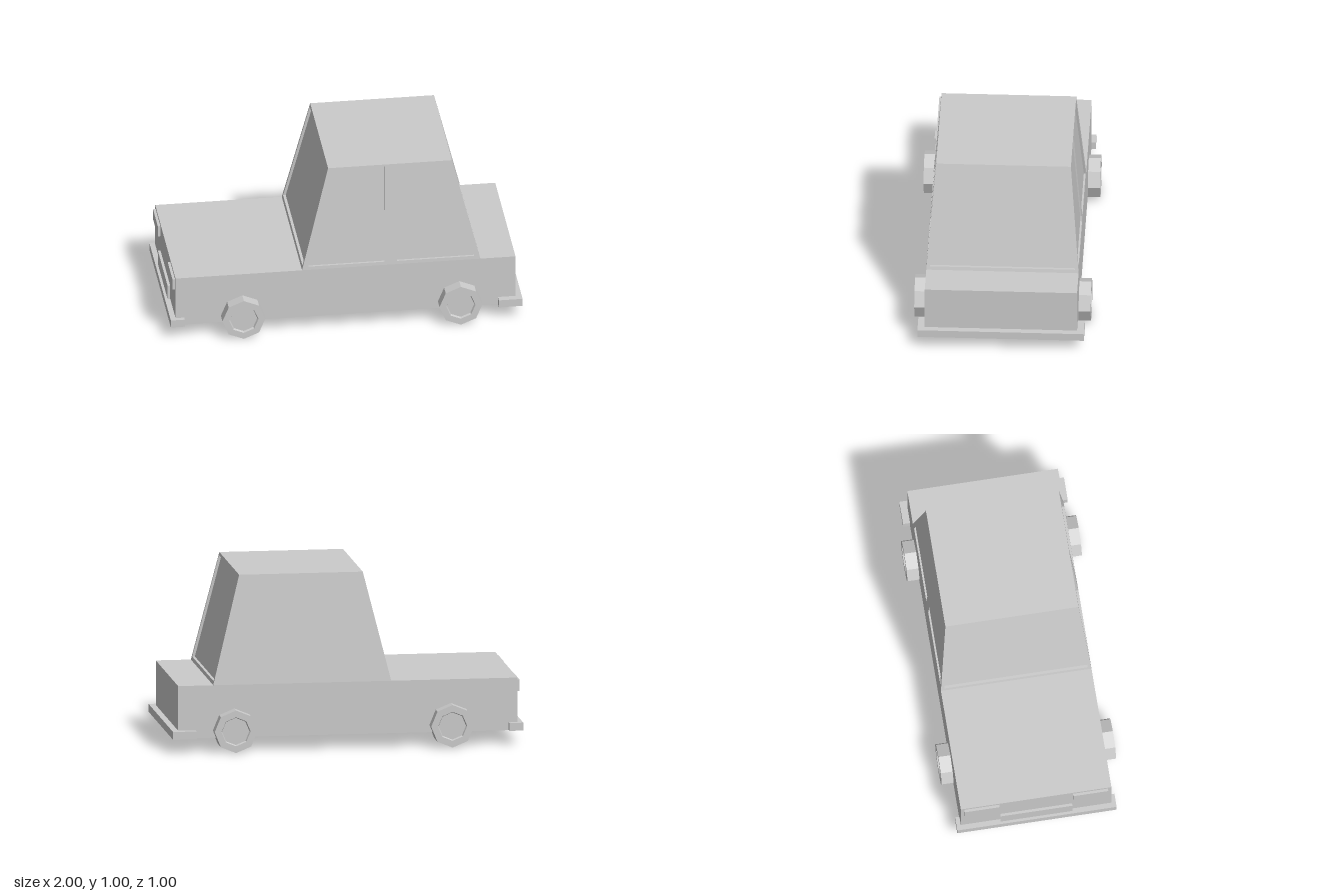
import * as THREE from 'three';

const mat = new THREE.MeshStandardMaterial({ color: 0xcccccc, flatShading: true });

// Cabin limits at the waistline and at the roof
const Y0 = 0.38, Y1 = 1.0;
const FRONT = [-0.25, -0.095], REAR = [0.765, 0.61], HALF = [0.43, 0.38];
const at = ([a, b], y) => a + (b - a) * (y - Y0) / (Y1 - Y0);

function add(parent, name, geometry) {
  const mesh = new THREE.Mesh(geometry, mat);
  mesh.name = name;
  parent.add(mesh);
  return mesh;
}

// Box given by its limits on each axis
function box(parent, name, [x0, x1], [y0, y1], [z0, z1]) {
  const g = new THREE.BoxGeometry(x1 - x0, y1 - y0, z1 - z0);
  g.translate((x0 + x1) / 2, (y0 + y1) / 2, (z0 + z1) / 2);
  return add(parent, name, g);
}

// Tapered block following the cabin slopes, inset from the outer faces
function cabinBlock(parent, name, y0, y1, insetX, insetZ) {
  const g = new THREE.BoxGeometry(1, 1, 1);
  const p = g.attributes.position;
  for (let i = 0; i < p.count; i++) {
    const y = p.getY(i) > 0 ? y1 : y0;
    const x = p.getX(i) > 0 ? at(REAR, y) - insetX : at(FRONT, y) + insetX;
    p.setXYZ(i, x, y, Math.sign(p.getZ(i)) * (at(HALF, y) - insetZ));
  }
  g.computeVertexNormals();
  return add(parent, name, g);
}

const points = (list) => list.map(([x, y]) => new THREE.Vector2(x, y));

// Flat window frame with openings, leaned inward by a shear
function frame(parent, name, outline, holes, depth, lean, turn) {
  const shape = new THREE.Shape(points(outline));
  for (const h of holes) shape.holes.push(new THREE.Path(points(h)));
  const g = new THREE.ExtrudeGeometry(shape, { depth, bevelEnabled: false });
  const p = g.attributes.position;
  for (let i = 0; i < p.count; i++) {
    p.setZ(i, p.getZ(i) - depth + at(lean, p.getY(i)));
  }
  g.computeVertexNormals();
  g.rotateY(turn);
  return add(parent, name, g);
}

export function createModel() {
  const car = new THREE.Group();
  car.name = 'car';

  // Lower body and bumpers
  box(car, 'body', [-0.97, 0.965], [0.08, Y0], [-0.43, 0.43]);
  box(car, 'frontBumper', [-1, -0.92], [0.08, 0.125], [-0.455, 0.455]);
  box(car, 'rearBumper', [0.865, 1], [0.08, 0.125], [-0.47, 0.47]);

  // Nose details
  box(car, 'grille', [-0.985, -0.96], [0.125, 0.21], [-0.205, 0.205]);
  box(car, 'leftHeadlight', [-0.985, -0.96], [0.3, 0.365], [0.21, 0.41]);
  box(car, 'rightHeadlight', [-0.985, -0.96], [0.3, 0.365], [-0.41, -0.21]);

  // Cabin: recessed glass, roof and four frames
  const cabin = new THREE.Group();
  cabin.name = 'cabin';
  car.add(cabin);
  cabinBlock(cabin, 'glass', Y0, 0.99, 0.015, 0.013);
  cabinBlock(cabin, 'roof', 0.988, Y1, 0, 0);

  const sideOutline = [[FRONT[0], Y0], [REAR[0], Y0], [REAR[1], Y1], [FRONT[1], Y1]];
  const sideWindows = [
    [[-0.215, 0.4], [0.22, 0.4], [0.228, 0.988], [-0.07, 0.988]],
    [[0.29, 0.4], [0.73, 0.4], [0.588, 0.988], [0.28, 0.988]],
  ];
  const flip = (list) => list.map(([x, y]) => [-x, y]);
  frame(cabin, 'leftWindowFrame', sideOutline, sideWindows, 0.013, HALF, 0);
  frame(cabin, 'rightWindowFrame', flip(sideOutline), sideWindows.map(flip), 0.013, HALF, Math.PI);

  const endOutline = [[-HALF[0], Y0], [HALF[0], Y0], [HALF[1], Y1], [-HALF[1], Y1]];
  const endWindow = [[[-0.41, 0.4], [0.41, 0.4], [0.368, 0.985], [-0.368, 0.985]]];
  frame(cabin, 'rearWindowFrame', endOutline, endWindow, 0.015, REAR, Math.PI / 2);
  frame(cabin, 'windshieldFrame', endOutline, endWindow, 0.015, FRONT.map((x) => -x), -Math.PI / 2);

  // Eight-sided wheels with a recessed hub
  const profile = points([
    [0, 0.375], [0.122, 0.375], [0.122, 0.498], [0.083, 0.498], [0.078, 0.485], [0, 0.485],
  ]);
  const wheel = new THREE.LatheGeometry(profile, 8).rotateX(Math.PI / 2);
  for (const [end, x] of [['front', -0.59], ['rear', 0.645]]) {
    for (const [side, turn] of [['Left', 0], ['Right', Math.PI]]) {
      const mesh = add(car, `${end}${side}Wheel`, wheel);
      mesh.position.set(x, 0.122, 0);
      mesh.rotation.y = turn;
    }
  }

  return car;
}
